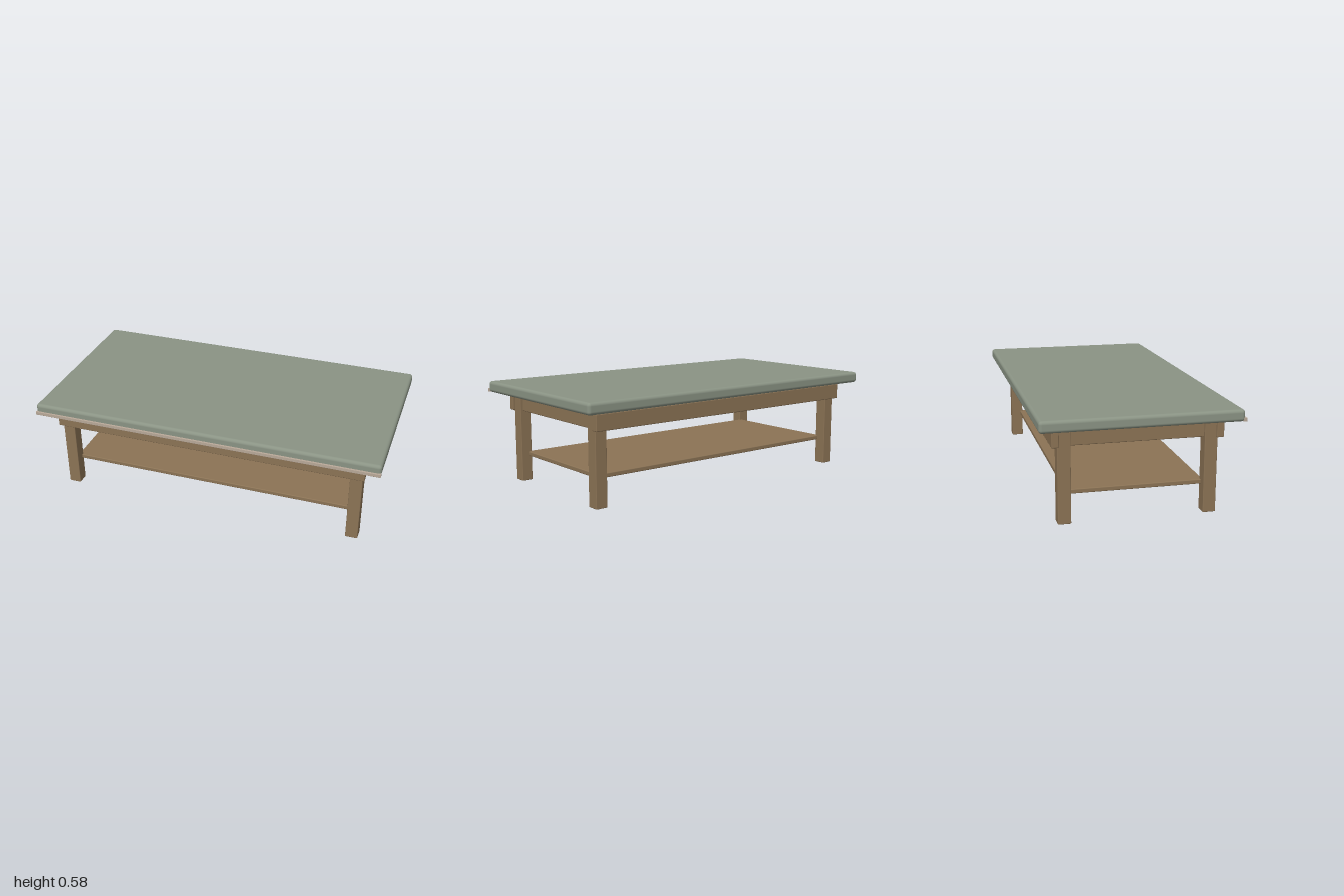
import * as THREE from 'three';
import { RoundedBoxGeometry } from 'three/addons/geometries/RoundedBoxGeometry.js';

export function createModel() {
  const wood = new THREE.MeshStandardMaterial({ color: 0x8b7355 });
  wood.name = 'brown wood';
  const sage = new THREE.MeshStandardMaterial({ color: 0x8a9384 });
  sage.name = 'sage green';
  const beige = new THREE.MeshStandardMaterial({ color: 0xb8a898 });
  beige.name = 'pale beige';

  const model = new THREE.Group();
  model.name = 'lowTable';

  // Softly rounded block given by its size and centre
  function block(name, material, size, centre, radius, segments = 2) {
    const mesh = new THREE.Mesh(new RoundedBoxGeometry(...size, segments, radius), material);
    mesh.name = name;
    mesh.position.set(...centre);
    model.add(mesh);
  }

  const midZ = -0.003; // frame sits slightly behind the centre because of the front trim

  // Table top and the thin trim along its lower front edge
  block('tableTop', sage, [2, 0.064, 1.064], [0, 0.547, midZ], 0.018, 4);
  block('frontTrim', beige, [2, 0.02, 0.018], [0, 0.526, 0.529], 0.002, 1);

  // Four square legs
  for (const sx of [-1, 1]) {
    for (const sz of [-1, 1]) {
      block('leg', wood, [0.07, 0.517, 0.07], [sx * 0.859, 0.2585, midZ + sz * 0.39], 0.004);
    }
  }

  // Long rails lapped over the outer faces of the legs
  for (const sz of [-1, 1]) {
    block('longRail', wood, [1.814, 0.09, 0.039], [0, 0.458, midZ + sz * 0.436], 0.005);
  }

  // Short rails between the legs
  for (const sx of [-1, 1]) {
    block('endRail', wood, [0.039, 0.09, 0.74], [sx * 0.859, 0.458, midZ], 0.005);
  }

  // Lower shelf, its corners let into the legs
  block('shelf', wood, [1.69, 0.025, 0.74], [0, 0.157, midZ], 0.005);

  return model;
}
